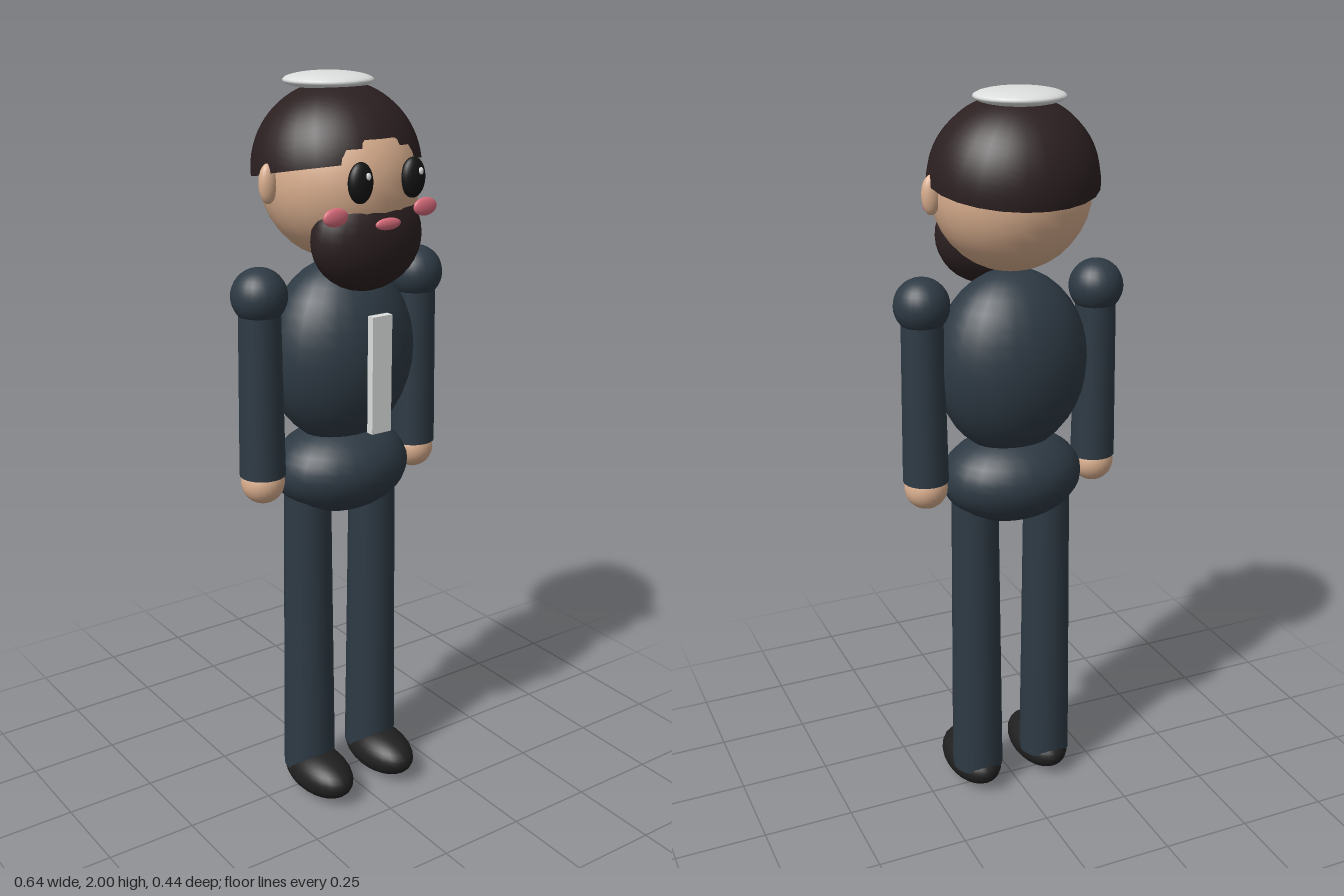
import * as THREE from 'three';

const mat = (name, color, side = THREE.FrontSide) => {
  const m = new THREE.MeshStandardMaterial({ color, side });
  m.name = name;
  return m;
};

export function createModel() {
  const model = new THREE.Group();
  model.name = 'beardedMan';

  const suit = mat('suit', 0x2e3a44);
  const skin = mat('skin', 0xd9ae8e);
  const hairBrown = mat('hairBrown', 0x2c2021, THREE.DoubleSide);
  const black = mat('black', 0x141414);
  const shoeBlack = mat('shoeBlack', 0x202020);
  const pink = mat('pink', 0xd96c7c);
  const paleGrey = mat('paleGrey', 0xdcdedd);
  const white = mat('white', 0xffffff);

  const add = (name, geometry, material, x, y, z) => {
    const mesh = new THREE.Mesh(geometry, material);
    mesh.name = name;
    mesh.position.set(x, y, z);
    model.add(mesh);
    return mesh;
  };
  // Ellipsoid from centre and radii
  const ball = (name, material, [x, y, z], [rx, ry, rz], theta = Math.PI) => {
    const g = new THREE.SphereGeometry(1, 24, 18, 0, Math.PI * 2, 0, theta);
    g.scale(rx, ry, rz);
    return add(name, g, material, x, y, z);
  };
  // Upright tapered limb
  const limb = (name, x, y0, y1, rTop, rBottom) =>
    add(name, new THREE.CylinderGeometry(rTop, rBottom, y1 - y0, 20), suit, x, (y0 + y1) / 2, 0);

  // Body
  ball('torso', suit, [0, 1.29, 0], [0.21, 0.25, 0.163]);
  ball('hips', suit, [0, 0.97, 0], [0.197, 0.125, 0.156]);
  add('shirtPanel', new THREE.BoxGeometry(0.06, 0.31, 0.022), paleGrey, 0, 1.265, 0.177);

  // Head, hair, beard and skullcap
  ball('head', skin, [0, 1.745, 0], [0.206, 0.208, 0.205]);
  ball('hair', hairBrown, [0, 1.766, -0.015], [0.222, 0.215, 0.208], Math.PI / 2).rotation.x = -0.19;
  ball('beard', hairBrown, [0, 1.61, 0.117], [0.16, 0.137, 0.09]);
  ball('skullcap', paleGrey, [0, 1.978, -0.052], [0.116, 0.022, 0.116]);
  ball('mouth', pink, [0, 1.655, 0.206], [0.038, 0.015, 0.009]);

  for (const s of [-1, 1]) {
    const side = s > 0 ? 'left' : 'right';
    // Face
    ball(side + 'Ear', skin, [s * 0.215, 1.745, 0], [0.025, 0.05, 0.02]);
    ball(side + 'Eye', black, [s * 0.079, 1.76, 0.199], [0.035, 0.05, 0.021]);
    ball(side + 'EyeGlint', white, [s * 0.079 + 0.01, 1.776, 0.215], [0.009, 0.01, 0.006]);
    ball(side + 'Cheek', pink, [s * 0.136, 1.68, 0.177], [0.036, 0.023, 0.011]);
    // Arm
    ball(side + 'Shoulder', suit, [s * 0.247, 1.468, 0], [0.073, 0.073, 0.073]);
    limb(side + 'Arm', s * 0.247, 0.99, 1.46, 0.054, 0.061);
    ball(side + 'Hand', skin, [s * 0.247, 0.97, 0], [0.058, 0.058, 0.058]);
    // Leg
    limb(side + 'Leg', s * 0.107, 0.07, 0.91, 0.064, 0.073);
    ball(side + 'Shoe', shoeBlack, [s * 0.107, 0.064, 0.048], [0.077, 0.063, 0.133]);
  }
  return model;
}
